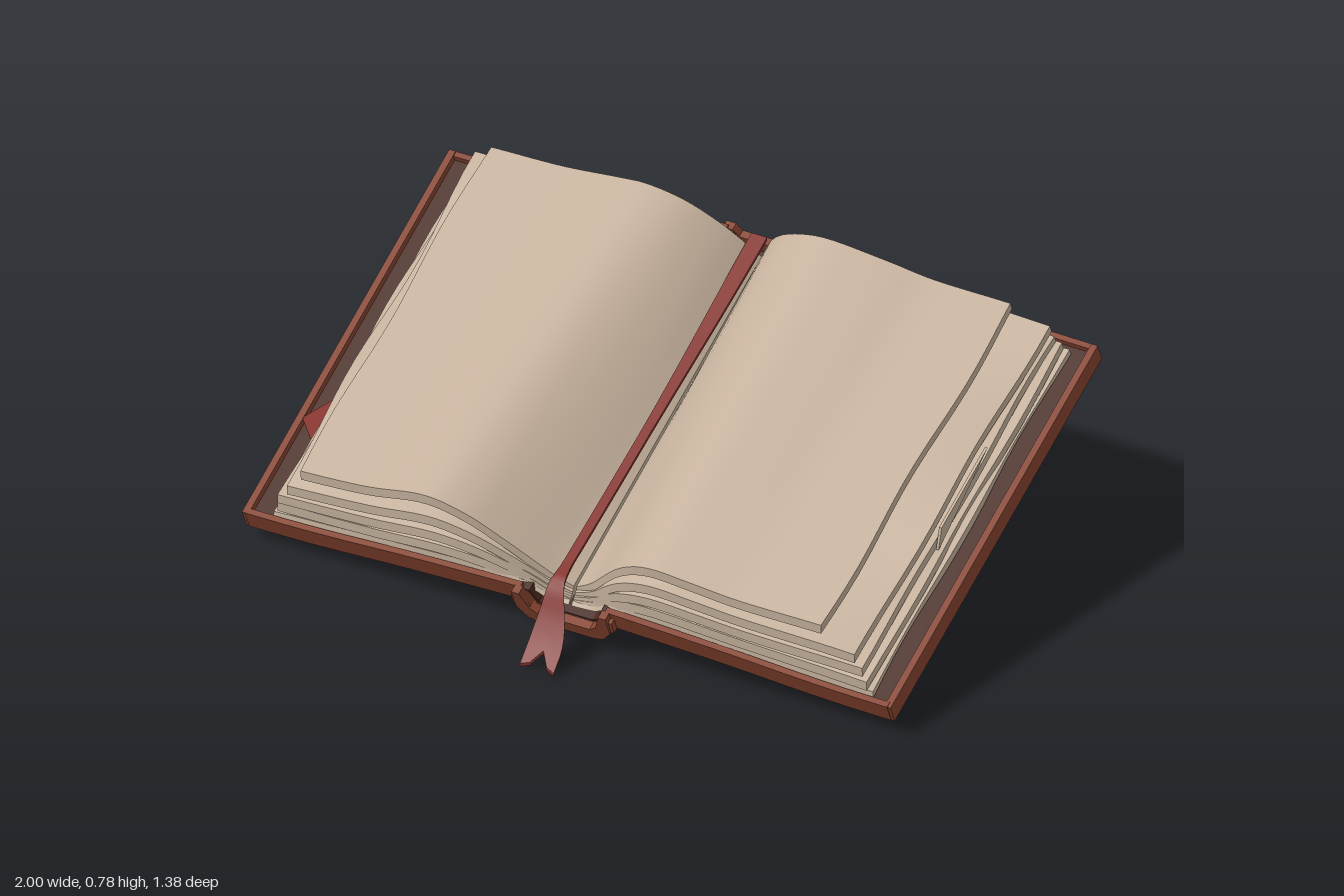
import * as THREE from 'three';

const material = (name, color, side = THREE.FrontSide) => {
  const m = new THREE.MeshStandardMaterial({ color, side });
  m.name = name;
  return m;
};

// Smooth height profile through [x, y] points, looked up by x
function profile(points) {
  const pts = new THREE.SplineCurve(points.map(p => new THREE.Vector2(...p))).getPoints(80);
  return x => {
    let i = 1;
    while (i < pts.length - 1 && pts[i].x < x) i++;
    const a = pts[i - 1], b = pts[i];
    return a.y + (b.y - a.y) * THREE.MathUtils.clamp((x - a.x) / (b.x - a.x), 0, 1);
  };
}

// Box whose vertices (each -0.5..0.5) are moved by a rule
function shapedBox(segments, rule) {
  const g = new THREE.BoxGeometry(1, 1, 1, ...segments);
  const p = g.attributes.position, v = new THREE.Vector3();
  for (let i = 0; i < p.count; i++) {
    rule(v.fromBufferAttribute(p, i));
    p.setXYZ(i, v.x, v.y, v.z);
  }
  g.computeVertexNormals();
  return g;
}

const { lerp, smoothstep } = THREE.MathUtils;
const boardBottom = profile([[0.1, 0.275], [0.3, 0.265], [0.5, 0.253], [0.7, 0.236], [0.85, 0.227], [1, 0.224]]);
const pageFloor = profile([[0, 0.282], [0.08, 0.29], [0.16, 0.318], [0.5, 0.298], [0.95, 0.272]]);
// Height of the open page at its front and back ends
const pageFront = {
  right: profile([[0, 0.31], [0.03, 0.325], [0.07, 0.35], [0.2, 0.455], [0.3, 0.522], [0.42, 0.55], [0.6, 0.505],
    [0.8, 0.482], [1, 0.47]]),
  left: profile([[0, 0.31], [0.03, 0.33], [0.07, 0.365], [0.17, 0.475], [0.27, 0.522], [0.4, 0.512], [0.55, 0.496],
    [0.8, 0.498], [1, 0.49]]),
};
const pageBack = {
  right: profile([[0, 0.31], [0.03, 0.345], [0.1, 0.42], [0.2, 0.488], [0.31, 0.515], [0.4, 0.505], [0.55, 0.478],
    [0.65, 0.468], [0.8, 0.46], [1, 0.44]]),
  left: profile([[0, 0.31], [0.02, 0.36], [0.04, 0.405], [0.09, 0.46], [0.17, 0.5], [0.26, 0.513], [0.43, 0.49],
    [0.57, 0.466], [0.8, 0.464], [1, 0.45]]),
};

export function createModel() {
  const leather = material('leather', 0x85432e);
  const lining = material('dark lining', 0x4a281e);
  const paper = material('paper', 0xc4b09b);
  const ribbonRed = material('ribbon red', 0x85322c, THREE.DoubleSide);

  const model = new THREE.Group();
  model.name = 'openBook';
  const book = new THREE.Group();
  book.name = 'tiltedBook';
  book.rotation.x = THREE.MathUtils.degToRad(23.5);
  model.add(book);

  const add = (parent, name, geometry, mat) => {
    const mesh = new THREE.Mesh(geometry, mat);
    mesh.name = name;
    parent.add(mesh);
    return mesh;
  };

  // Piece of a cover board following its slight bend
  const boardPiece = (name, side, x0, x1, y0, y1, z0, z1, mat) => {
    const lo = side > 0 ? x0 : -x1, hi = side > 0 ? x1 : -x0;
    add(book, name, shapedBox([14, 1, 1], v => {
      v.x = lerp(lo, hi, v.x + 0.5);
      v.y = boardBottom(Math.abs(v.x)) + lerp(y0, y1, v.y + 0.5);
      v.z = lerp(z0, z1, v.z + 0.5);
    }), mat);
  };

  // Cover boards with raised rims
  const lined = [leather, leather, lining, leather, leather, leather];
  for (const side of [1, -1]) {
    const s = side > 0 ? 'left' : 'right';
    boardPiece(s + 'CoverBoard', side, 0.13, 0.992, 0, 0.042, -0.833, 0.42, lined);
    boardPiece(s + 'OuterRim', side, 0.98, 1, 0.004, 0.064, -0.838, 0.426, leather);
    boardPiece(s + 'BackRim', side, 0.13, 0.99, 0.004, 0.06, -0.84, -0.823, leather);
    boardPiece(s + 'FrontRim', side, 0.13, 0.99, 0.004, 0.066, 0.41, 0.428, leather);
  }

  // Spine trough with a dark inside and raised lips
  const trough = (half, z0, z1) => {
    const outline = [...half, ...half.slice().reverse().map(([x, y]) => [-x, y])];
    const shape = new THREE.Shape(outline.map(p => new THREE.Vector2(...p)));
    return new THREE.ExtrudeGeometry(shape, { depth: z1 - z0, bevelEnabled: false }).translate(0, 0, z0);
  };
  add(book, 'spine', trough([[0.09, 0.224], [0.112, 0.231], [0.127, 0.25], [0.14, 0.272], [0.155, 0.275],
    [0.155, 0.318], [0.115, 0.318], [0.095, 0.272], [0.075, 0.262]], -0.85, 0.445), leather);
  add(book, 'spineLining', trough([[0.075, 0.261], [0.095, 0.271], [0.115, 0.317], [0.152, 0.317],
    [0.152, 0.322], [0.11, 0.322], [0.09, 0.277], [0.072, 0.267]], -0.828, 0.42), lining);
  add(book, 'spineBackLip', trough([[0.085, 0.228], [0.115, 0.236], [0.145, 0.275], [0.145, 0.326],
    [0.115, 0.326], [0.1, 0.3]], -0.855, -0.832), leather);
  add(book, 'spineFrontLip', trough([[0.085, 0.228], [0.115, 0.236], [0.145, 0.275], [0.145, 0.342],
    [0.122, 0.342], [0.102, 0.285], [0.08, 0.268]], 0.425, 0.452), leather);

  // Fanned bundles of pages: lift, reach on each side, front and back ends
  const bundles = [
    { lift: 1, left: 0.8, right: 0.81, front: 0.362, back: -0.785 },
    { lift: 0.67, left: 0.895, right: 0.865, front: 0.375, back: -0.79 },
    { lift: 0.43, left: 0.905, right: 0.89, front: 0.384, back: -0.793 },
    { lift: 0.24, left: 0.92, right: 0.905, front: 0.39, back: -0.795 },
    { lift: 0.1, left: 0.93, right: 0.915, front: 0.396, back: -0.797 },
  ];
  for (const side of [1, -1]) {
    const s = side > 0 ? 'left' : 'right';
    bundles.forEach((b, k) => {
      const reach = b[s], lo = side > 0 ? 0.004 : -reach, hi = side > 0 ? reach : -0.004;
      add(book, `${s}Pages${k + 1}`, shapedBox([36, 1, 16], v => {
        const upper = v.y > 0, t = 0.5 - v.z;
        const x = lerp(lo, hi, v.x + 0.5), a = Math.abs(x), edge = (a / reach) ** 4;
        // cut ends slope outward towards the lower face
        v.z = lerp(b.front + (upper ? 0 : 0.01), b.back, t);
        const floor = pageFloor(a);
        const crest = lerp(pageFront[s](a), pageBack[s](a), t);
        const wave = k ? 0.008 * edge * Math.sin(v.z * 8 + k * 2 + side) : 0;
        const top = floor + Math.max(crest - floor, 0.01) * b.lift + wave;
        v.y = upper ? Math.max(top, floor + 0.006) : Math.max(floor, top - 0.026);
        v.x = x + side * 0.006 * edge * Math.sin(v.z * 9 + k * 2.3);
      }), paper);
    });
  }

  // Loose torn sliver on the left page edge
  const sliver = new THREE.Shape([[-0.06, 0.335], [-0.10, 0.385], [-0.38, 0.385], [-0.13, 0.345]]
    .map(([z, y]) => new THREE.Vector2(-z, y)));
  const sliverMesh = add(book, 'tornSliver',
    new THREE.ExtrudeGeometry(sliver, { depth: 0.008, bevelEnabled: false }), paper);
  sliverMesh.rotation.y = Math.PI / 2;
  sliverMesh.position.x = 0.905;

  // Corner of a page marker poking out on the right and drooping to its tip
  add(book, 'markerTab', shapedBox([1, 1, 1], v => {
    const u = v.x + 0.5;
    v.set(lerp(-0.985, -0.86, u), lerp(0.28, 0.325, u) + v.y * 0.008, 0.09 + v.z * 0.26 * u);
  }), ribbonRed);

  // Ribbon lying in the gutter and hanging over the front, with a forked end
  const path = new THREE.CatmullRomCurve3([[-0.6, 0.66], [-0.3, 0.53], [0, 0.405], [0.3, 0.285], [0.49, 0.212],
    [0.54, 0.195], [0.59, 0.115], [0.635, 0.055], [0.685, 0.006]].map(([z, y]) => new THREE.Vector3(0, y, z)));
  add(model, 'ribbon', shapedBox([4, 1, 60], v => {
    const s = v.x * 2, t = v.z + 0.5;
    const flare = smoothstep(t, 0.78, 0.97);
    const notch = 0.035 * Math.max(0, 1 - 1.6 * Math.abs(s)) * smoothstep(t, 0.93, 1);
    const p = path.getPointAt(t - notch);
    const halfWidth = lerp(lerp(0.024, 0.014, smoothstep(t, 0, 0.5)), 0.052, flare);
    v.set(lerp(-0.014, 0.008, flare) + s * halfWidth, p.y + v.y * 0.01, p.z);
  }), ribbonRed);

  return model;
}
